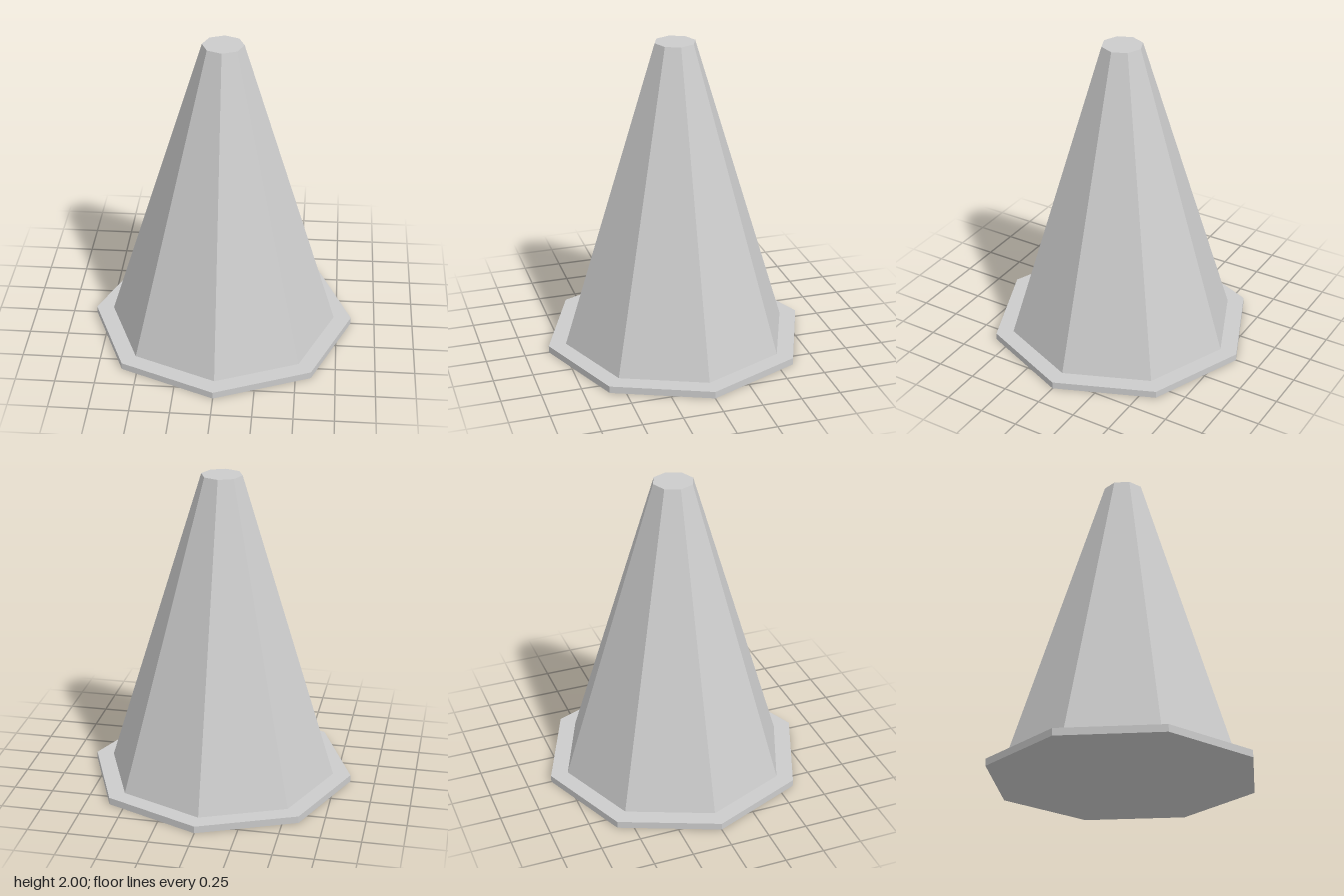
import * as THREE from 'three';

const SIDES = 8;
const BASE_HEIGHT = 0.045;
const TOTAL_HEIGHT = 2;

const material = new THREE.MeshStandardMaterial({ color: 0xcccccc, flatShading: true });

// Eight-sided tapered prism standing between two heights
function prism(name, topRadius, bottomRadius, y0, y1) {
  const geometry = new THREE.CylinderGeometry(topRadius, bottomRadius, y1 - y0, SIDES);
  const mesh = new THREE.Mesh(geometry, material);
  mesh.name = name;
  mesh.position.y = (y0 + y1) / 2;
  return mesh;
}

export function createModel() {
  const group = new THREE.Group();
  group.name = 'trafficCone';
  // Flat foot plate
  group.add(prism('base', 0.845, 0.845, 0, BASE_HEIGHT));
  // Tapered body with a closed flat tip
  group.add(prism('cone', 0.128, 0.732, BASE_HEIGHT, TOTAL_HEIGHT));
  return group;
}
